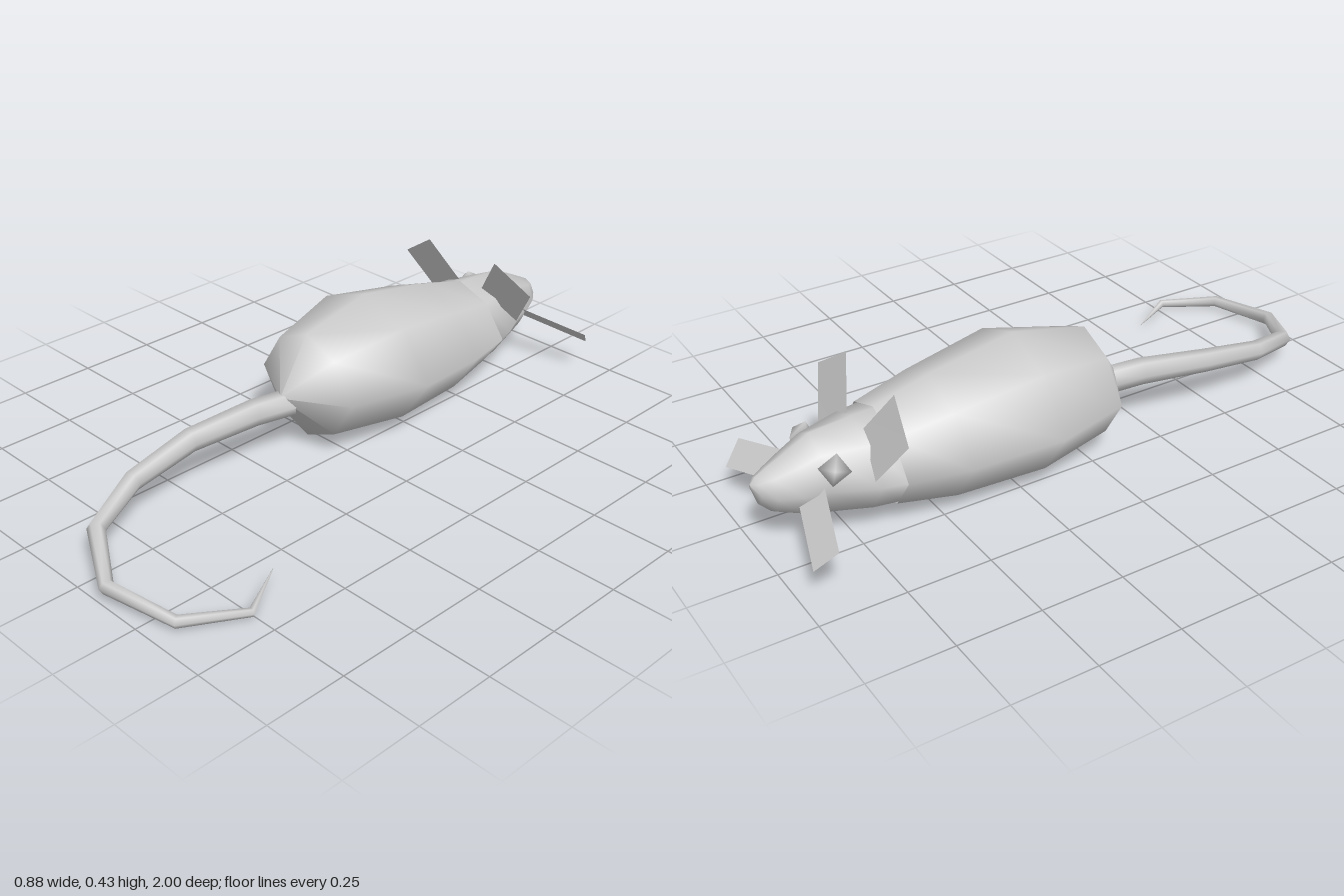
import * as THREE from 'three';

const CX = -0.118; // mirror plane of the animal

const material = (double) => new THREE.MeshStandardMaterial({
  color: 0xcccccc, side: double ? THREE.DoubleSide : THREE.FrontSide,
});

// Smooth skin over a list of closed rings with equal point counts
function loft(name, rings) {
  const n = rings[0].length, index = [];
  for (let i = 0; i < rings.length - 1; i++) {
    for (let j = 0; j < n; j++) {
      const k = (j + 1) % n;
      const a = i * n + j, b = i * n + k, c = a + n, d = b + n;
      index.push(a, c, b, b, c, d);
    }
  }
  const geo = new THREE.BufferGeometry().setFromPoints(rings.flat());
  geo.setIndex(index);
  geo.computeVertexNormals();
  const mesh = new THREE.Mesh(geo, material(true));
  mesh.name = name;
  return mesh;
}

// Eight-sided cross-section: [z, bottom, top, half width]
function section([z, bottom, top, w]) {
  const cy = (bottom + top) / 2, h = (top - bottom) / 2;
  const pts = [];
  for (let i = 0; i < 8; i++) {
    const a = i * Math.PI / 4;
    const diagonal = i % 2 ? 0.86 : 1; // shoulders pulled in
    pts.push(new THREE.Vector3(CX + w * Math.cos(a) * diagonal, cy + h * Math.sin(a), z));
  }
  return pts;
}

// Six-sided tapering tube along a bent path: [x, y, z, radius]
function tube(name, path) {
  const p = path.map(([x, y, z]) => new THREE.Vector3(x, y, z));
  const rings = p.map((c, i) => {
    const before = p[Math.max(i - 1, 0)], after = p[Math.min(i + 1, p.length - 1)];
    const dirIn = c.clone().sub(before).normalize(), dirOut = after.clone().sub(c).normalize();
    const t = dirIn.add(dirOut).normalize();
    const right = t.clone().cross(new THREE.Vector3(0, 1, 0)).normalize();
    const up = right.clone().cross(t);
    return Array.from({ length: 6 }, (_, j) => {
      const a = j * Math.PI / 3, r = path[i][3];
      return c.clone().addScaledVector(right, r * Math.cos(a)).addScaledVector(up, r * Math.sin(a));
    });
  });
  return loft(name, rings);
}

// Thin four-cornered plate, mirrored to the side given by s
function plate(name, corners, s) {
  const geo = new THREE.BufferGeometry().setFromPoints(
    corners.map(([x, y, z]) => new THREE.Vector3(CX + s * x, y, z)));
  geo.setIndex(s > 0 ? [0, 1, 2, 0, 2, 3] : [0, 2, 1, 0, 3, 2]);
  geo.computeVertexNormals();
  const mesh = new THREE.Mesh(geo, material(true));
  mesh.name = name;
  return mesh;
}

export function createModel() {
  const model = new THREE.Group();
  model.name = 'rat';

  model.add(loft('body', [
    [0.165, 0.2, 0.2, 0],
    [0.055, 0.03, 0.375, 0.195],
    [-0.19, 0.002, 0.428, 0.276],
    [-0.46, 0.004, 0.377, 0.235],
    [-0.635, 0.038, 0.33, 0.192],
  ].map(section)));

  model.add(loft('head', [
    [-0.625, 0.042, 0.325, 0.188],
    [-0.7, 0.045, 0.322, 0.17],
    [-0.825, 0.062, 0.31, 0.115],
    [-0.89, 0.082, 0.277, 0.092],
    [-0.95, 0.108, 0.247, 0.062],
    [-0.985, 0.145, 0.228, 0.036],
    [-1.0, 0.195, 0.21, 0.008],
    [-1.0, 0.203, 0.203, 0],
  ].map(section)));

  model.add(tube('tail', [
    [-0.118, 0.17, 0.1, 0.042],
    [-0.14, 0.177, 0.25, 0.041],
    [-0.17, 0.161, 0.47, 0.036],
    [-0.157, 0.125, 0.69, 0.031],
    [-0.085, 0.083, 0.87, 0.027],
    [0.103, 0.045, 0.978, 0.022],
    [0.328, 0.03, 0.928, 0.018],
    [0.426, 0.024, 0.762, 0.013],
    [0.328, 0.028, 0.6, 0.001],
  ]));

  for (const s of [1, -1]) {
    const side = s > 0 ? 'left' : 'right';
    model.add(plate(side + 'Ear', [
      [0.268, 0.35, -0.667],
      [0.14, 0.435, -0.637],
      [0.047, 0.3, -0.69],
      [0.175, 0.215, -0.722],
    ], s));
    model.add(plate(side + 'Whiskers', [
      [0.323, 0.152, -0.904],
      [0.287, 0.095, -0.963],
      [0.04, 0.147, -0.888],
      [0.076, 0.204, -0.827],
    ], s));

    // Faceted bead set into the cheek
    const eye = new THREE.Mesh(new THREE.SphereGeometry(0.045, 4, 2), material());
    eye.name = side + 'Eye';
    eye.scale.set(0.65, 1, 1);
    eye.position.set(CX + s * 0.108, 0.245, -0.805);
    eye.rotation.set(0.2, s * 0.45, s * 0.3);
    model.add(eye);
  }
  return model;
}
